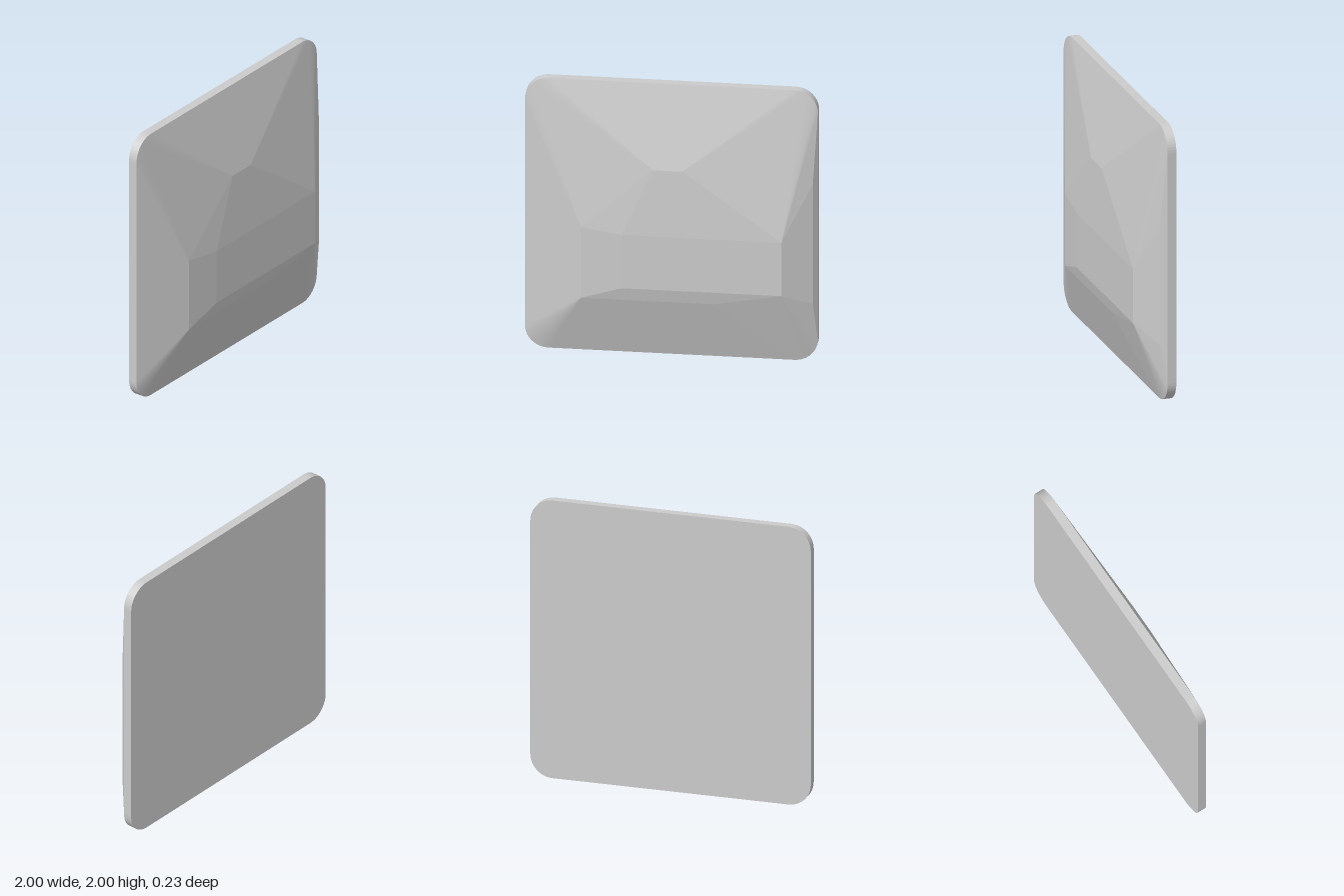
import * as THREE from 'three';
import { ConvexGeometry } from 'three/addons/geometries/ConvexGeometry.js';

const BACK = -0.113, RIM = -0.049, CROWN = 0.113;

// Outline of the rounded square, 2 x 2, standing on y = 0
function roundedOutline(radius, segments) {
  const points = [];
  for (let corner = 0; corner < 4; corner++) {
    const cx = (corner === 0 || corner === 3 ? 1 : -1) * (1 - radius);
    const cy = 1 + (corner < 2 ? 1 : -1) * (1 - radius);
    for (let i = 0; i <= segments; i++) {
      const a = (corner + i / segments) * Math.PI / 2;
      points.push([cx + radius * Math.cos(a), cy + radius * Math.sin(a)]);
    }
  }
  return points;
}

export function createModel() {
  const group = new THREE.Group();
  group.name = 'facetedTile';

  // Thin slab with rounded corners
  const points = [];
  for (const [x, y] of roundedOutline(0.16, 12)) {
    points.push(new THREE.Vector3(x, y, BACK), new THREE.Vector3(x, y, RIM));
  }

  // Off-centre cut facets on the front
  const facets = [
    [-0.32, 0.935, CROWN], [0.77, 0.935, CROWN], [0.77, 0.54, CROWN], [-0.32, 0.54, CROWN], // flat crown
    [-0.6, 0.97, 0.092], [-0.6, 0.445, 0.092], [0.3, 0.445, 0.092], // left and lower bevels
    [-0.11, 1.415, 0.087], [0.09, 1.415, 0.087], // upper ridge
    [0.97, 1.33, -0.007], [0.97, 0.44, -0.007], // right-hand strip
  ];
  for (const p of facets) points.push(new THREE.Vector3(...p));

  const tile = new THREE.Mesh(
    new ConvexGeometry(points),
    new THREE.MeshStandardMaterial({ color: 0xcccccc, flatShading: true }),
  );
  tile.name = 'facetedSlab';
  group.add(tile);
  return group;
}
